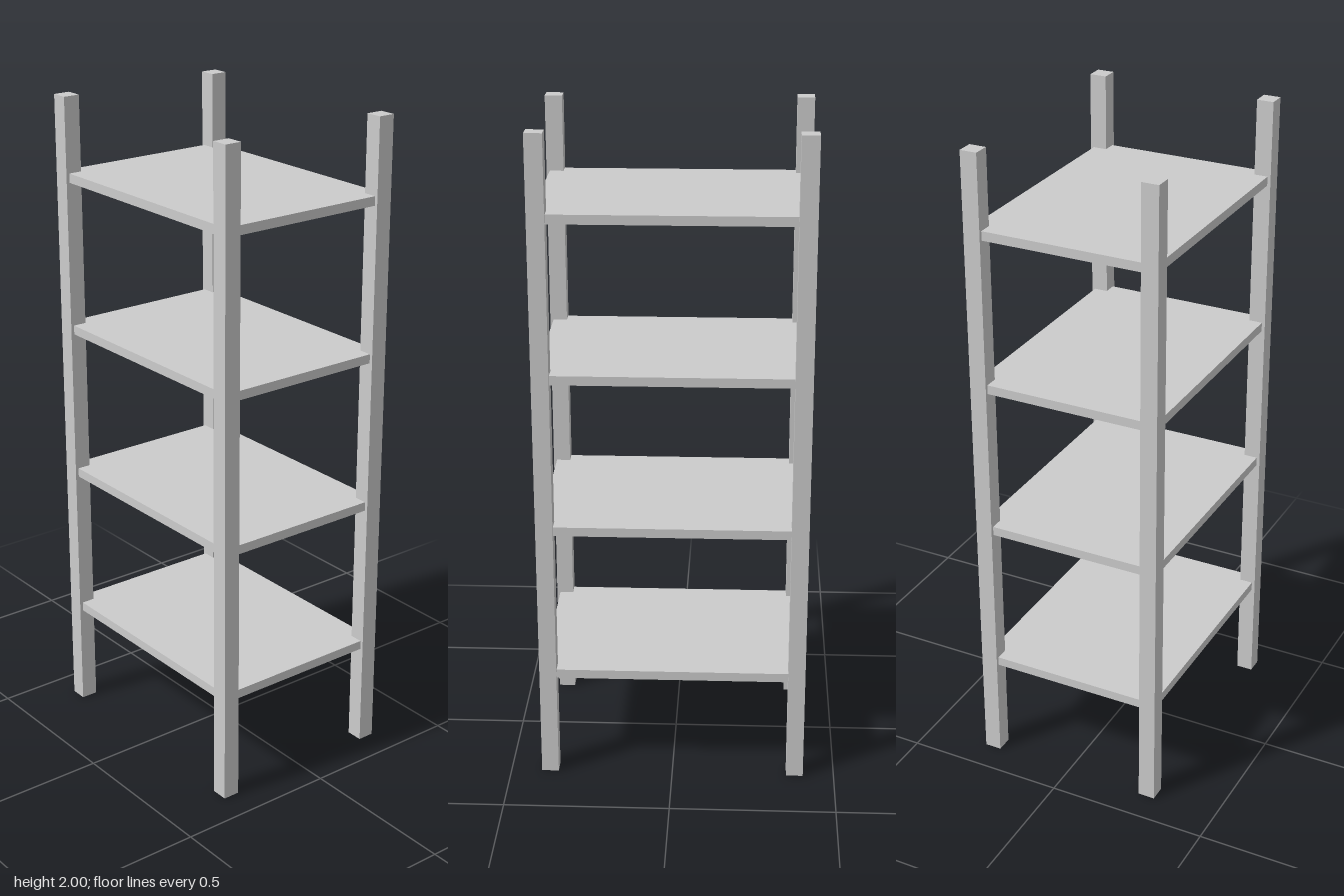
import * as THREE from 'three';

export function createModel() {
  const model = new THREE.Group();
  model.name = 'shelvingUnit';
  const material = new THREE.MeshStandardMaterial({ color: 0xcccccc });

  const addBox = (name, size, position) => {
    const mesh = new THREE.Mesh(new THREE.BoxGeometry(...size), material);
    mesh.name = name;
    mesh.position.set(...position);
    model.add(mesh);
  };

  const height = 2, width = 0.598, depth = 0.81, post = 0.052;

  // Four square corner posts
  for (const [side, sx] of [['Left', 1], ['Right', -1]]) {
    for (const [end, sz] of [['front', 1], ['back', -1]]) {
      addBox(`${end}${side}Post`, [post, height, post],
        [sx * (width - post) / 2, height / 2, sz * (depth - post) / 2]);
    }
  }

  // Four evenly spaced shelves, set slightly inside the posts' outer faces
  for (let i = 0; i < 4; i++) {
    addBox(`shelf${i + 1}`, [width - 0.02, 0.028, depth - 0.02], [0, 0.335 + i * 0.474, 0]);
  }

  return model;
}
